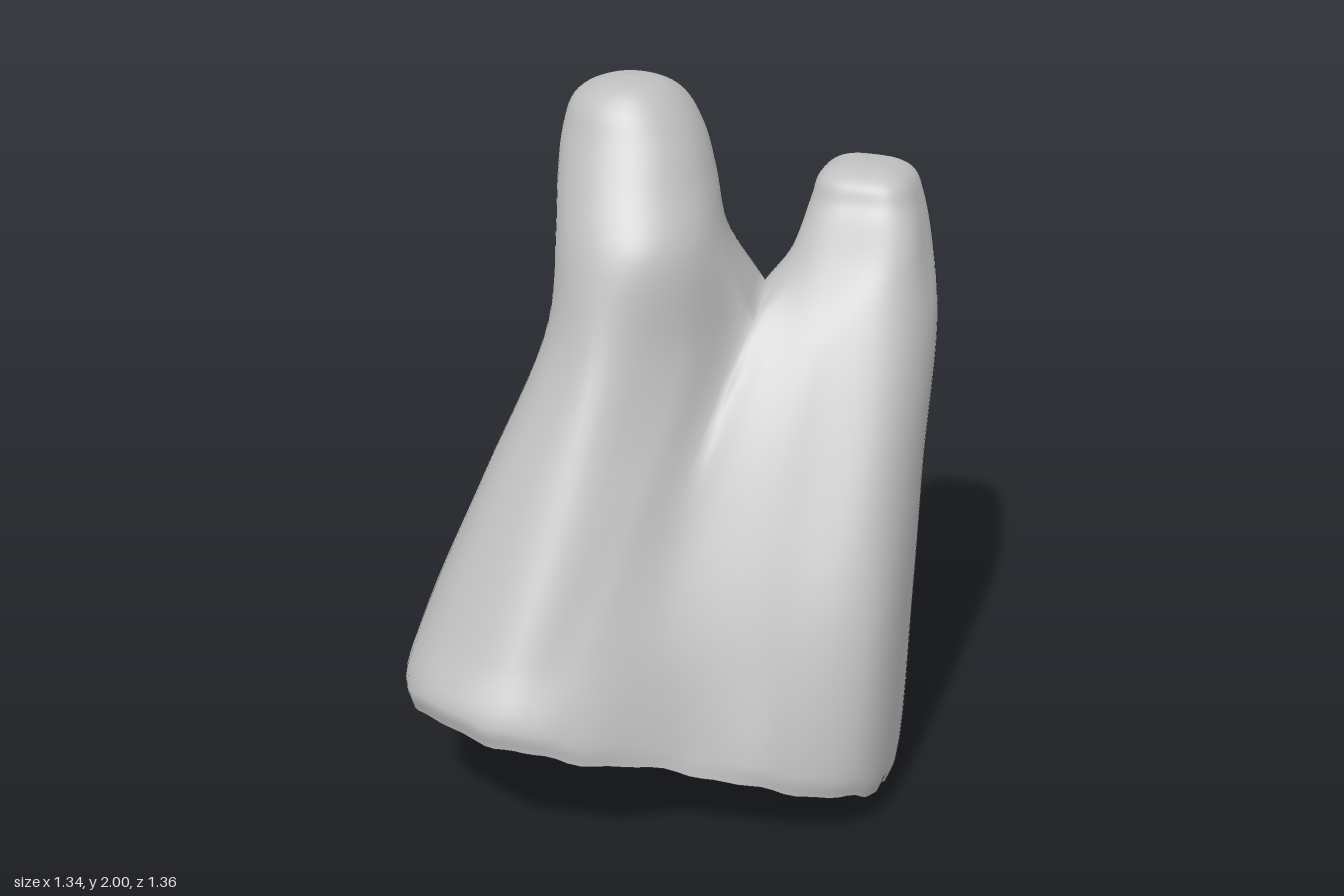
import * as THREE from 'three';
import { mergeVertices } from 'three/addons/utils/BufferGeometryUtils.js';

const V = (x, y, z) => new THREE.Vector3(x, y, z);
const ARC = 48;     // columns around the outside of each lobe
const WEB = 12;     // columns on the side facing the other root
const STEPS = 6;    // rows between two sections
const WALL = 0.023; // shell thickness

// Body sections as x,z pairs: front groove, five points round one lobe, back groove, five round the other.
// The lowest two follow the tilted rim at a given rise; the others are level, the last with raised grooves.
const bodySections = [
  { rise: 0, p: [0.17, 0.44, -0.08, 0.62, -0.3, 0.67, -0.565, 0.535, -0.65, 0.2, -0.43, -0.065,
    0.1, -0.27, 0.42, -0.29, 0.595, -0.17, 0.645, 0.04, 0.615, 0.21, 0.42, 0.365] },
  { rise: 0.06, p: [0.17, 0.43, -0.08, 0.62, -0.3, 0.68, -0.57, 0.55, -0.667, 0.2, -0.46, -0.09,
    0.1, -0.3, 0.42, -0.335, 0.61, -0.21, 0.66, 0.015, 0.625, 0.215, 0.42, 0.365] },
  { y: 0.6, p: [0.13, 0.37, -0.08, 0.52, -0.27, 0.6, -0.535, 0.475, -0.62, 0.13, -0.44, -0.135,
    0.12, -0.34, 0.42, -0.43, 0.61, -0.32, 0.665, -0.1, 0.625, 0.13, 0.4, 0.25] },
  { y: 0.95, p: [0.13, 0.18, -0.01, 0.31, -0.2, 0.41, -0.42, 0.325, -0.495, 0.07, -0.35, -0.195,
    0.13, -0.38, 0.42, -0.5, 0.6, -0.41, 0.655, -0.19, 0.6, -0.005, 0.39, 0.075] },
  { y: 1.32, frontLift: 0.04, backLift: 0.06, p: [0.185, -0.13, 0.05, 0.08, -0.15, 0.22, -0.31, 0.14,
    -0.365, -0.06, -0.22, -0.27, 0.14, -0.4, 0.36, -0.625, 0.58, -0.57, 0.635, -0.39, 0.585, -0.21, 0.38, -0.13] },
];

// Root sections: y, centre x, centre z, radius x, radius z; a lower power gives squarer sections
const tallRoot = { start: 0, end: 310, first: 0, power: 0.95, rings: [
  [1.6, -0.135, -0.145, 0.23, 0.265], [1.75, -0.168, -0.2, 0.215, 0.225], [1.86, -0.19, -0.235, 0.194, 0.19],
  [1.94, -0.205, -0.25, 0.155, 0.155], [1.985, -0.2, -0.24, 0.09, 0.09], [2, -0.2, -0.24, 0, 0]] };
const shortRoot = { start: 200, end: 500, first: ARC, power: 0.65, rings: [
  [1.5, 0.4, -0.475, 0.185, 0.195], [1.62, 0.393, -0.543, 0.152, 0.137],
  [1.68, 0.387, -0.556, 0.13, 0.118], [1.71, 0.385, -0.56, 0.085, 0.075], [1.72, 0.38, -0.56, 0, 0]] };

// The open rim lies on a tilted plane with a slightly ragged edge
function rimHeight(x, z, i) {
  const a = i * Math.PI / ARC;
  return Math.max(0, 0.144 - 0.126 * x + 0.315 * z + 0.006 * Math.sin(a * 11) + 0.003 * Math.sin(a * 23));
}

function bodyLoop({ rise, y, frontLift = 0, backLift = 0, p }) {
  const points = [];
  for (let i = 0; i < p.length; i += 2) points.push(V(p[i], y ?? 0, p[i + 1]));
  points[0].y += frontLift;
  points[6].y += backLift;
  const curve = new THREE.CatmullRomCurve3(points, true);
  return Array.from({ length: 2 * ARC }, (_, i) => {
    const q = curve.getPoint(i / (2 * ARC));
    if (y === undefined) q.y = rimHeight(q.x, q.z, i) + rise;
    return q;
  });
}

function sample(keys) {
  const curve = new THREE.CatmullRomCurve3(keys);
  const n = (keys.length - 1) * STEPS;
  return Array.from({ length: n + 1 }, (_, i) => curve.getPoint(i / n));
}

// Columns run from the rim to the root tip; columns of the web begin at the saddle
function lobeColumns(loops, root, saddle) {
  const columns = [];
  const bend = (v) => Math.sign(v) * Math.abs(v) ** root.power;
  const ringPoints = (degrees) => root.rings.map(([y, cx, cz, rx, rz]) => {
    const a = THREE.MathUtils.degToRad(degrees);
    return V(cx + rx * bend(Math.cos(a)), y, cz + rz * bend(Math.sin(a)));
  });
  for (let j = 0; j <= ARC; j++) {
    const body = loops.map((loop) => loop[(root.first + j) % (2 * ARC)]);
    const tip = ringPoints(root.start + (root.end - root.start) * j / ARC);
    const seam = j === 0 || j === ARC;
    columns.push(seam
      ? [...sample(body).slice(0, -1), ...sample([body[body.length - 1], ...tip])]
      : sample([...body, ...tip]));
  }
  for (let j = 1; j < WEB; j++) {
    const tip = ringPoints(root.end + (root.start + 360 - root.end) * j / WEB);
    columns.push([...Array((loops.length - 1) * STEPS).fill(null), ...sample([saddle[j], ...tip])]);
  }
  return columns;
}

function addFaces(columns, positions) {
  columns.forEach((left, c) => {
    const right = columns[(c + 1) % columns.length];
    for (let r = 0; r < left.length - 1; r++) {
      const [a, b, d, e] = [left[r], left[r + 1], right[r], right[r + 1]];
      if (!a || !d) continue;
      for (const q of [a, b, d, d, b, e]) positions.push(q.x, q.y, q.z);
    }
  });
}

function makeGeometry(positions, index) {
  const g = new THREE.BufferGeometry();
  g.setAttribute('position', new THREE.Float32BufferAttribute(positions, 3));
  if (index) g.setIndex(index);
  return g;
}

function outerGeometry() {
  const loops = bodySections.map(bodyLoop);
  const top = loops[loops.length - 1];
  const arch = new THREE.QuadraticBezierCurve3(top[ARC], V(0.18, 1.47, -0.29), top[0]);
  const saddle = arch.getPoints(WEB);
  const positions = [];
  addFaces(lobeColumns(loops, tallRoot, saddle), positions);
  addFaces(lobeColumns(loops, shortRoot, [...saddle].reverse()), positions);
  const g = mergeVertices(makeGeometry(positions), 1e-4);
  // Drop the collapsed triangles at the tips
  const old = g.index.array, index = [];
  for (let i = 0; i < old.length; i += 3) {
    const [a, b, c] = [old[i], old[i + 1], old[i + 2]];
    if (a !== b && b !== c && c !== a) index.push(a, b, c);
  }
  g.setIndex(index);
  g.computeVertexNormals();
  return g;
}

export function createModel() {
  const group = new THREE.Group();
  group.name = 'twoRootedShell';
  const grey = new THREE.MeshStandardMaterial({ color: 0xbfbfbf });
  grey.name = 'plain grey';
  const add = (geometry, name) => {
    const mesh = new THREE.Mesh(geometry, grey);
    mesh.name = name;
    group.add(mesh);
  };

  // Outer wall with both roots
  const outer = outerGeometry();
  add(outer, 'outerWall');

  // Inner wall, offset inwards and turned over
  const p = outer.attributes.position, n = outer.attributes.normal, index = outer.index.array;
  const innerPositions = Array.from(p.array, (v, i) => v - n.array[i] * WALL);
  const innerIndex = [];
  for (let i = 0; i < index.length; i += 3) innerIndex.push(index[i], index[i + 2], index[i + 1]);
  for (let i = 1; i < innerPositions.length; i += 3) innerPositions[i] = Math.max(0, innerPositions[i]);
  const inner = makeGeometry(innerPositions, innerIndex);
  inner.computeVertexNormals();
  add(inner, 'innerWall');

  // Rim strip along the open edge
  const edges = new Set();
  const eachEdge = (use) => {
    for (let i = 0; i < index.length; i++) use(index[i], index[i % 3 === 2 ? i - 2 : i + 1]);
  };
  eachEdge((a, b) => edges.add(a + '_' + b));
  const rim = [];
  const at = (array, i) => array.slice(i * 3, i * 3 + 3);
  eachEdge((a, b) => {
    if (edges.has(b + '_' + a)) return;
    const [oa, ob, ia, ib] = [at(p.array, a), at(p.array, b), at(innerPositions, a), at(innerPositions, b)];
    for (const q of [ob, oa, ia, ob, ia, ib]) rim.push(...q);
  });
  const rimGeometry = mergeVertices(makeGeometry(rim), 1e-4);
  rimGeometry.computeVertexNormals();
  add(rimGeometry, 'rim');
  return group;
}
